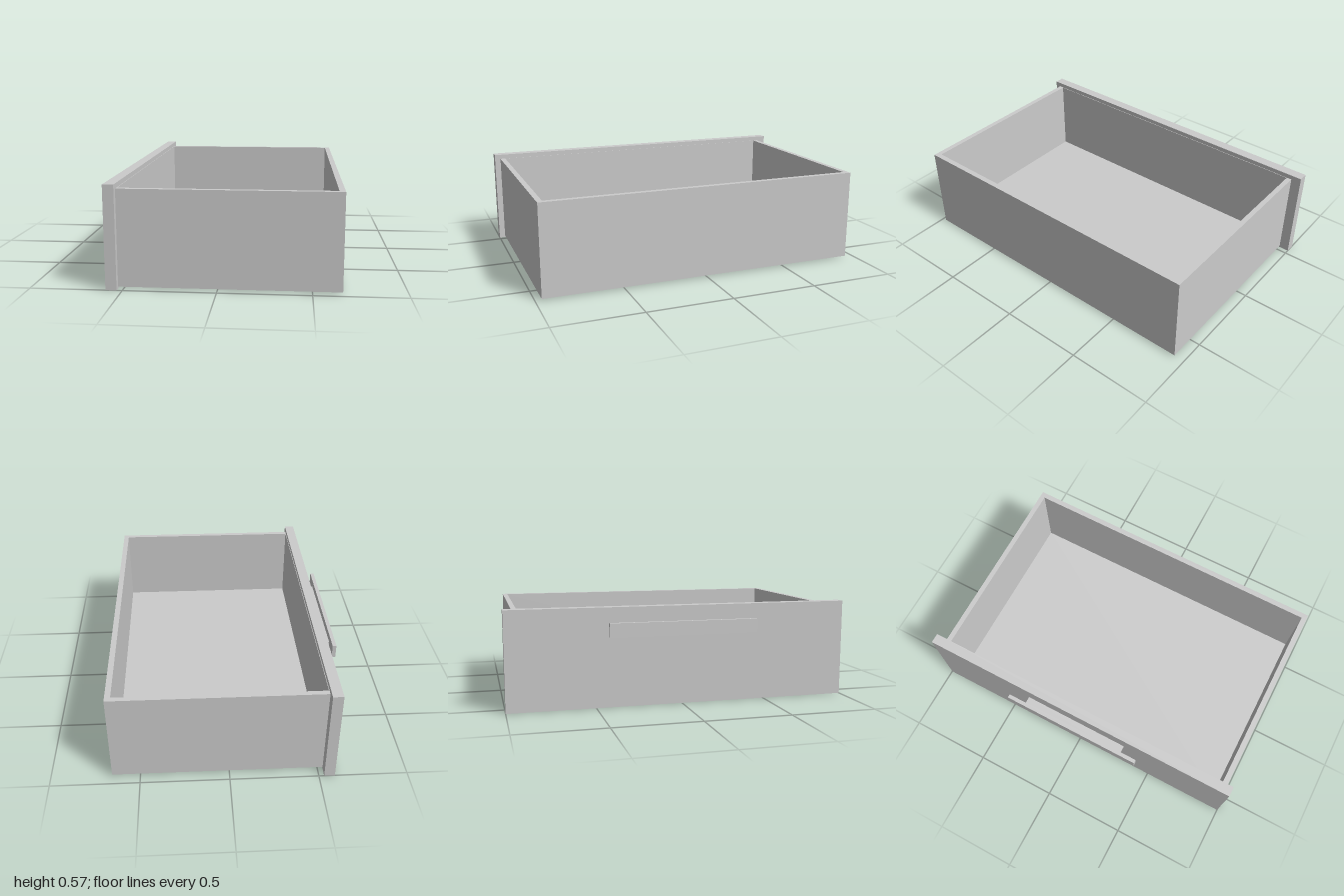
import * as THREE from 'three';

const material = new THREE.MeshStandardMaterial({ color: 0xcccccc });

// Box given by its [min, max] along each axis
function block(name, [x0, x1], [y0, y1], [z0, z1]) {
  const mesh = new THREE.Mesh(new THREE.BoxGeometry(x1 - x0, y1 - y0, z1 - z0), material);
  mesh.position.set((x0 + x1) / 2, (y0 + y1) / 2, (z0 + z1) / 2);
  mesh.name = name;
  return mesh;
}

// Corners of a rectangle in the ground plane (shape y becomes -z)
function rectangle([x0, x1], [z0, z1]) {
  return [[x0, -z1], [x1, -z1], [x1, -z0], [x0, -z0]].map(([x, y]) => new THREE.Vector2(x, y));
}

export function createModel() {
  const drawer = new THREE.Group();
  drawer.name = 'drawer';

  // Four walls as one frame, its front wall seated in the face panel
  const frame = new THREE.Shape(rectangle([-0.555, 0.658], [-0.94, 0.965]));
  frame.holes.push(new THREE.Path(rectangle([-0.527, 0.626], [-0.91, 0.934])));
  const wallGeometry = new THREE.ExtrudeGeometry(frame, { depth: 0.53, bevelEnabled: false });
  wallGeometry.rotateX(-Math.PI / 2);
  const walls = new THREE.Mesh(wallGeometry, material);
  walls.position.y = 0.01;
  walls.name = 'drawerWalls';
  drawer.add(walls);

  // Floor inside the frame
  drawer.add(block('drawerFloor', [-0.527, 0.626], [0.01, 0.07], [-0.91, 0.934]));

  // Face panel overhanging the box
  drawer.add(block('facePanel', [-0.59, -0.53], [0, 0.567], [-1, 1]));

  // Pull handle: a flat grip on a thin stem
  const handle = new THREE.Group();
  handle.name = 'handle';
  handle.add(
    block('handleStem', [-0.64, -0.59], [0.423, 0.444], [-0.33, 0.324]),
    block('handleGrip', [-0.66, -0.638], [0.407, 0.486], [-0.432, 0.428]),
  );
  drawer.add(handle);

  return drawer;
}
